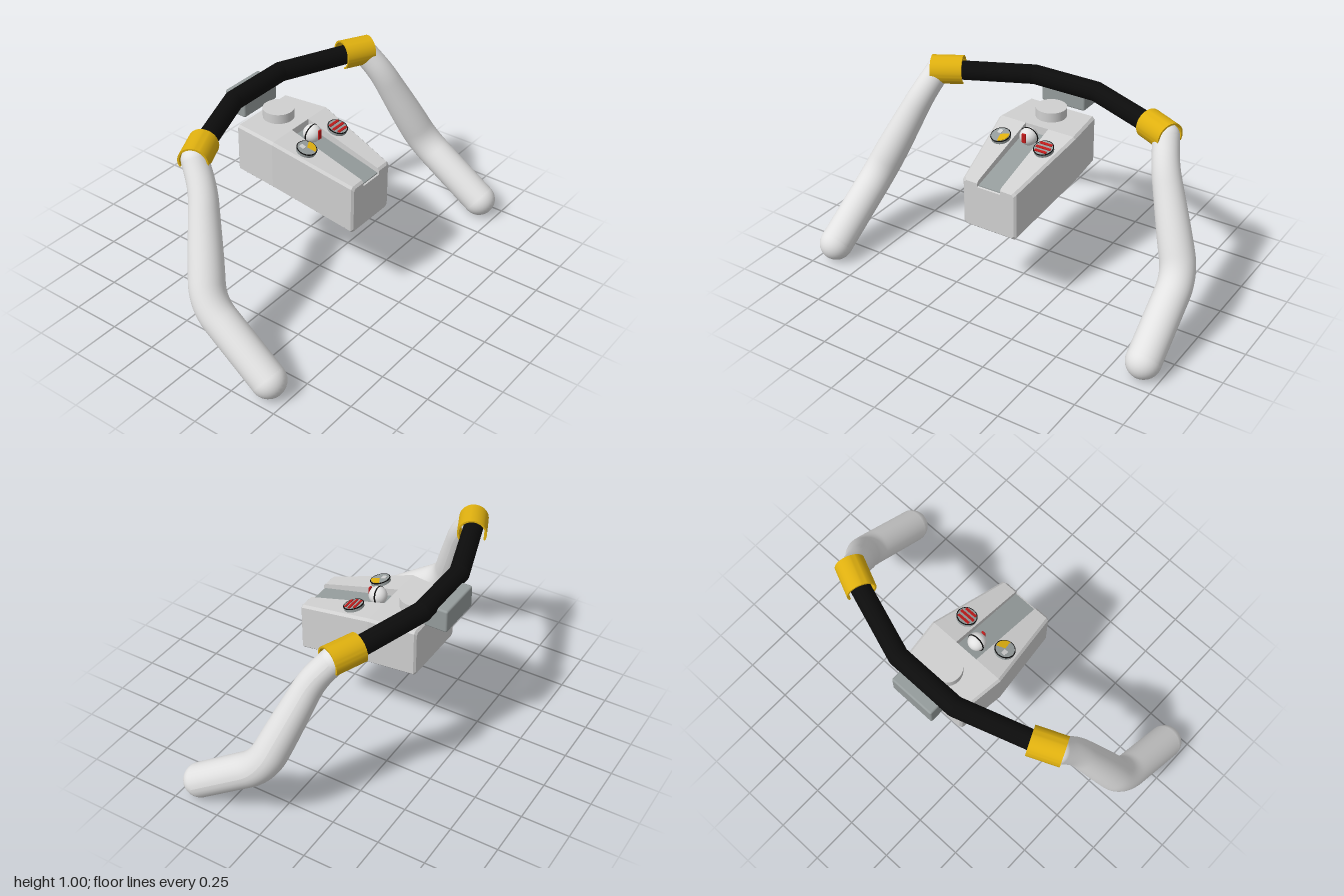
import * as THREE from 'three';
import { toCreasedNormals } from 'three/addons/utils/BufferGeometryUtils.js';
import { RoundedBoxGeometry } from 'three/addons/geometries/RoundedBoxGeometry.js';

const V = (x, y, z) => new THREE.Vector3(x, y, z);
const mat = (name, color, opts = {}) => {
  const m = new THREE.MeshStandardMaterial({ color, ...opts });
  m.name = name;
  return m;
};

// Loft through matching cross-sections, ordered front to back, capped at both ends
function loft(sections) {
  const pos = [];
  const tri = (...pts) => pts.forEach((p) => pos.push(p.x, p.y, p.z));
  const rings = sections.map((s) => s.pts.map(([x, y]) => V(x, y, s.z)));
  const n = rings[0].length;
  for (let k = 0; k < rings.length - 1; k++) {
    for (let i = 0; i < n; i++) {
      const j = (i + 1) % n;
      const [a, b, c, d] = [rings[k][i], rings[k][j], rings[k + 1][j], rings[k + 1][i]];
      tri(a, d, c);
      tri(a, c, b);
    }
  }
  [rings[0], rings[rings.length - 1]].forEach((ring, end) => {
    const flat = ring.map((p) => new THREE.Vector2(p.x, p.y));
    THREE.ShapeUtils.triangulateShape(flat, []).forEach(([a, b, c]) =>
      end ? tri(ring[a], ring[c], ring[b]) : tri(ring[a], ring[b], ring[c]));
  });
  const g = new THREE.BufferGeometry();
  g.setAttribute('position', new THREE.Float32BufferAttribute(pos, 3));
  g.computeVertexNormals();
  return g;
}

// Chamfered rectangle, optionally notched along the top
function section(z, hw, y0, y1, c, depth = 0, n = 0.065) {
  const notch = depth ? [[n, y1], [n, y1 - depth], [-n, y1 - depth], [-n, y1]] : [];
  return { z, pts: [[-hw + c, y0], [hw - c, y0], [hw, y0 + c], [hw, y1 - c], [hw - c, y1],
    ...notch, [-hw + c, y1], [-hw, y1 - c], [-hw, y0 + c]] };
}

// Smoothly bent path with rounded corners
function bentPath(points, round) {
  const path = new THREE.CurvePath();
  let from = points[0];
  for (let i = 1; i < points.length - 1; i++) {
    const p = points[i];
    const before = p.clone().add(points[i - 1].clone().sub(p).setLength(round[i - 1]));
    const after = p.clone().add(points[i + 1].clone().sub(p).setLength(round[i - 1]));
    path.add(new THREE.LineCurve3(from, before));
    path.add(new THREE.QuadraticBezierCurve3(before, p, after));
    from = after;
  }
  path.add(new THREE.LineCurve3(from, points[points.length - 1]));
  return path;
}

export function createModel() {
  const model = new THREE.Group();
  model.name = 'armBarController';
  const white = mat('white', 0xe2e2e2);
  const shell = mat('light grey', 0xd0d0d0);
  const grey = mat('mid grey', 0x959c9c);
  const black = mat('black', 0x0c0c0c);
  const yellow = mat('yellow', 0xdfb00f, { side: THREE.DoubleSide });
  const red = mat('red', 0xc01a1a);
  const add = (name, geo, material, parent = model) => {
    const m = new THREE.Mesh(geo, material);
    m.name = name;
    parent.add(m);
    return m;
  };
  const ballAt = (name, p, r, material) =>
    add(name, new THREE.SphereGeometry(r, 32, 20), material).position.copy(p);
  const rod = (name, a, b, r, material) => {
    const d = b.clone().sub(a);
    const m = add(name, new THREE.CylinderGeometry(r, r, d.length(), 28), material);
    m.position.copy(a).add(b).multiplyScalar(0.5);
    m.quaternion.setFromUnitVectors(V(0, 1, 0), d.normalize());
  };

  // Black crossbar in three straight runs
  rod('crossbarMiddle', V(-0.18, 0.94, -0.387), V(0.18, 0.94, -0.387), 0.05, black);

  for (const s of [1, -1]) {
    const side = s > 0 ? 'left' : 'right';
    rod(side + 'Crossbar', V(s * 0.18, 0.94, -0.387), V(s * 0.64, 0.915, -0.228), 0.05, black);
    ballAt(side + 'CrossbarJoint', V(s * 0.18, 0.94, -0.387), 0.05, black);

    // Bent arm, tapering towards the clamp
    const pts = [V(0.912, 0.088, 0.402), V(0.895, 0.345, 0.035), V(0.705, 0.8, -0.13), V(0.66, 0.912, -0.213)];
    pts.forEach((p) => { p.x *= s; });
    const path = bentPath(pts, [0.1, 0.07]);
    const steps = 60, sides = 32;
    const arm = new THREE.TubeGeometry(path, steps, 0.087, sides);
    const pos = arm.attributes.position;
    for (let i = 0; i <= steps; i++) {
      const c = path.getPointAt(i / steps);
      const k = 1 - 0.25 * THREE.MathUtils.smoothstep(i / steps, 0.45, 1);
      for (let j = 0; j <= sides; j++) {
        const q = i * (sides + 1) + j;
        const p = V().fromBufferAttribute(pos, q).sub(c).multiplyScalar(k).add(c);
        pos.setXYZ(q, p.x, p.y, p.z);
      }
    }
    arm.computeVertexNormals();
    add(side + 'Arm', arm, white);
    ballAt(side + 'ArmTip', pts[0], 0.087, white);
    ballAt(side + 'ArmTop', pts[3], 0.065, white);

    // Yellow clamp, an open ring with its gap facing down and back
    const a = V(s * 0.537, 0.922, -0.267), b = V(s * 0.688, 0.915, -0.2);
    const axis = b.clone().sub(a), h = axis.length() / 2;
    axis.normalize();
    const down = V(0, -1, -0.35);
    down.addScaledVector(axis, -down.dot(axis)).normalize();
    const gap = 1.6;
    const profile = [[0.066, -h], [0.075, -h], [0.075, h], [0.066, h], [0.066, -h]].map((p) => new THREE.Vector2(...p));
    const ring = new THREE.LatheGeometry(profile, 36, gap / 2, Math.PI * 2 - gap);
    const clamp = add(side + 'Clamp', toCreasedNormals(ring, 0.6), yellow);
    clamp.quaternion.setFromRotationMatrix(new THREE.Matrix4().makeBasis(axis.clone().cross(down), axis, down));
    clamp.position.copy(a).add(b).multiplyScalar(0.5);
  }

  // Console: sloping front with a channel, level rear
  const c = 0.012;
  add('consoleFront', loft([
    section(0.312, 0.14, 0.437, 0.68, c, 0.02),
    section(0.302, 0.151, 0.428, 0.692, c, 0.028),
    section(-0.12, 0.22, 0.555, 0.815, c, 0.045),
  ]), shell);
  add('consoleRear', loft([
    section(-0.12, 0.22, 0.555, 0.815, c),
    section(-0.355, 0.192, 0.555, 0.815, c),
    section(-0.365, 0.182, 0.565, 0.805, c),
  ]), shell);
  add('channelFloor', loft([
    section(0.304, 0.064, 0.66, 0.668, 0.001),
    section(-0.119, 0.064, 0.766, 0.774, 0.001),
  ]), grey);

  // Round button and rear mounting box
  add('roundButton', new THREE.CylinderGeometry(0.079, 0.079, 0.06, 40), shell).position.set(0, 0.835, -0.255);
  add('mountBox', new RoundedBoxGeometry(0.25, 0.12, 0.124, 3, 0.01), grey).position.set(0, 0.88, -0.428);

  // Ball knob with a black seam and a red patch
  const knob = new THREE.Group();
  knob.name = 'ballKnob';
  knob.position.set(0, 0.793, -0.045);
  model.add(knob);
  add('knobBall', new THREE.SphereGeometry(0.046, 28, 20), white, knob);
  const seam = add('knobSeam', new THREE.TorusGeometry(0.045, 0.004, 8, 32), black, knob);
  seam.position.z = -0.008;
  seam.rotation.x = 0.2;
  add('knobPatch', new RoundedBoxGeometry(0.022, 0.05, 0.009, 2, 0.003), red, knob).position.set(0, 0.008, 0.045);

  // Sloping dials either side of the channel
  for (const s of [1, -1]) {
    const dial = new THREE.Group();
    dial.name = s > 0 ? 'leftDial' : 'rightDial';
    dial.position.set(s * 0.124, 0.78, 0.014);
    dial.rotation.x = 0.285;
    model.add(dial);
    add('dialBase', new THREE.CylinderGeometry(0.05, 0.05, 0.03, 32), grey, dial);
    const rim = add('dialRim', new THREE.TorusGeometry(0.049, 0.003, 6, 32), black, dial);
    rim.rotation.x = Math.PI / 2;
    rim.position.y = 0.013;
    if (s > 0) {
      // Red stripes
      for (const z of [-0.026, 0.002, 0.028]) {
        const w = 2 * Math.sqrt(0.045 ** 2 - z * z) * 0.92;
        add('dialStripe', new THREE.BoxGeometry(w, 0.006, 0.013), red, dial).position.set(0, 0.016, z);
      }
    } else {
      // Yellow sector and pale patch
      add('dialSector', new THREE.CylinderGeometry(0.045, 0.045, 0.006, 20, 1, false, 0.15, 1.9), yellow, dial).position.y = 0.016;
      add('dialPatch', new THREE.BoxGeometry(0.022, 0.006, 0.026), shell, dial).position.set(-0.012, 0.016, -0.018);
    }
  }
  return model;
}
